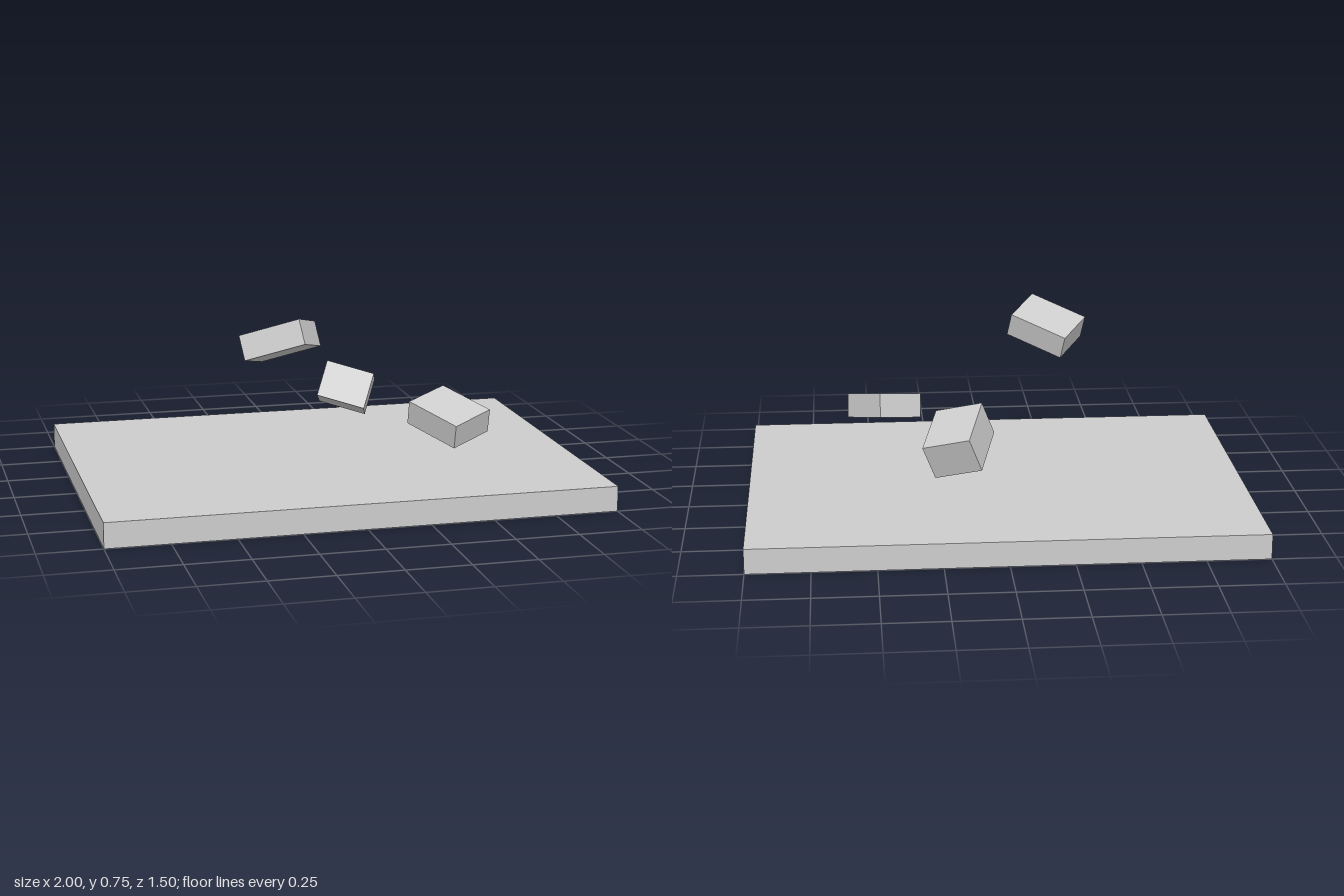
import * as THREE from 'three';

export function createModel() {
  const model = new THREE.Group();
  const grey = new THREE.MeshStandardMaterial({ color: 0xcccccc });
  grey.name = 'plain grey';

  // Box of a given size and centre; its local x and z edges follow the given directions
  function addBox(name, size, centre, xDir = [1, 0, 0], zDir = [0, 0, 1]) {
    const mesh = new THREE.Mesh(new THREE.BoxGeometry(...size), grey);
    const x = new THREE.Vector3(...xDir).normalize();
    const y = new THREE.Vector3(...zDir).cross(x).normalize();
    const z = new THREE.Vector3().crossVectors(x, y);
    mesh.quaternion.setFromRotationMatrix(new THREE.Matrix4().makeBasis(x, y, z));
    mesh.position.set(...centre);
    mesh.name = name;
    model.add(mesh);
  }

  // Floor slab
  addBox('floorSlab', [2, 0.1, 1.5], [0, 0.05, 0]);

  // Tumbling blocks above the slab
  addBox('highBlock', [0.25, 0.1, 0.2], [-0.238, 0.648, 0.313],
    [0.208, 0.075, 0.108], [-0.102, 0.043, 0.16]);
  addBox('backBlock', [0.2, 0.15, 0.25], [0.16, 0.323, -0.197],
    [0.182, -0.051, 0.071], [-0.067, 0.082, 0.224]);
  addBox('leftBlock', [0.2, 0.1, 0.25], [0.442, 0.31, 0.33],
    [0.171, 0.034, -0.1], [0.128, -0.06, 0.204]);

  return model;
}
